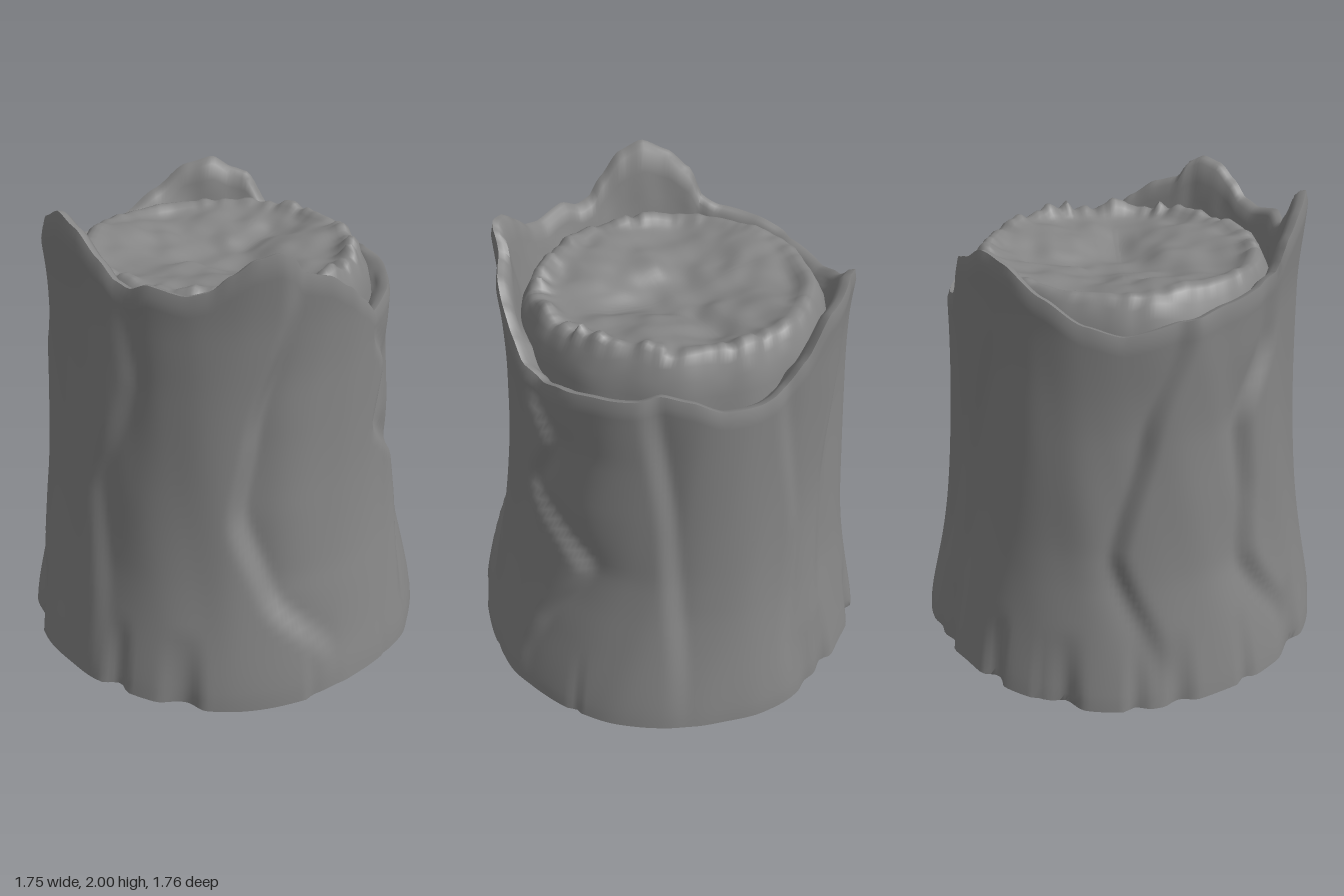
import * as THREE from 'three';
import { toCreasedNormals } from 'three/addons/utils/BufferGeometryUtils.js';

const COLS = 240;
const { sin, cos, min, max, exp, pow, PI } = Math;
const ease = THREE.MathUtils.smoothstep;

// Eased interpolation through [position, value] pairs
function sample(points, t) {
  if (t <= points[0][0]) return points[0][1];
  for (let i = 1; i < points.length; i++) {
    const [p0, v0] = points[i - 1], [p1, v1] = points[i];
    if (t <= p1) {
      const k = (t - p0) / (p1 - p0);
      return v0 + (v1 - v0) * (0.5 * k + 0.5 * k * k * (3 - 2 * k));
    }
  }
  return points[points.length - 1][1];
}

// Seeded value noise on a lattice
function hash(i, j) {
  const s = sin(i * 127.1 + j * 311.7 + 17) * 43758.5453;
  return s - Math.floor(s);
}
function noise(x, y) {
  const i = Math.floor(x), j = Math.floor(y), f = x - i, g = y - j;
  const u = f * f * (3 - 2 * f), v = g * g * (3 - 2 * g);
  const lo = hash(i, j) * (1 - u) + hash(i + 1, j) * u;
  const hi = hash(i, j + 1) * (1 - u) + hash(i + 1, j + 1) * u;
  return (lo * (1 - v) + hi * v) * 2 - 1;
}

// Height of the torn bark edge by angle in degrees (0 = front, 90 = +x)
const RIM = [
  [-180, 1.55], [-170, 1.58], [-162, 1.66], [-153, 1.81], [-147, 1.83], [-140, 1.88], [-130, 1.85],
  [-118, 1.75], [-105, 1.66], [-93, 1.62], [-75, 1.66], [-60, 1.70], [-45, 1.72], [-38, 1.75],
  [-33, 1.87], [-25, 1.95], [-16, 2.0], [-8, 1.96], [0, 1.86], [5, 1.79], [10, 1.77], [16, 1.8],
  [28, 1.77], [35, 1.79], [41, 1.85], [48, 1.91], [55, 1.93], [60, 1.9], [64, 1.83], [73, 1.8],
  [82, 1.73], [90, 1.65], [98, 1.57], [104, 1.53], [115, 1.57], [130, 1.59], [140, 1.6],
  [149, 1.62], [158, 1.6], [168, 1.55], [180, 1.55],
];

// Overlapping bark folds: path of angle by height, side that drops, depth, width
const FOLDS = [
  { path: [[0.2, -38], [0.6, -54], [0.9, -52], [1.2, -54], [1.5, -41]], side: -1, depth: 0.05, width: 16 },
  { path: [[0.2, 71], [0.5, 53], [0.85, 45], [1.2, 50], [1.7, 62]], side: 1, depth: 0.06, width: 18 },
  { path: [[0.2, 107], [0.4, 112], [0.75, 127], [1.05, 102], [1.3, 112], [1.45, 102]], side: 1, depth: 0.035, width: 14 },
  { path: [[0.3, 158], [1, 153], [1.6, 147]], side: 1, depth: 0.04, width: 12 },
  { path: [[0.3, -168], [0.9, -163], [1.6, -170]], side: 1, depth: 0.03, width: 10 },
  { path: [[0.3, -152], [1, -148], [1.6, -137]], side: 1, depth: 0.025, width: 14 },
  { path: [[0.2, -83], [0.7, -97], [1.2, -87], [1.6, -75]], side: -1, depth: 0.045, width: 13 },
  { path: [[0.3, 2], [0.9, -2], [1.4, 11], [1.9, 5]], side: 1, depth: 0.022, width: 20 },
];

function barkRadius(deg, y) {
  const a = deg * PI / 180;
  // Flared trunk, opening slightly at the highest tips
  const flare = exp(-pow(max(0, y - 0.04) / 0.62, 1.3));
  let r = 0.703 + 0.175 * flare + 0.025 * ease(y, 1.6, 2);
  const fade = min(1, 0.1 + y * 1.6) * (1 - 0.55 * ease(y, 1.35, 1.75));
  for (const { path, side, depth, width } of FOLDS) {
    const d = (((deg - sample(path, y) + 540) % 360) - 180) * side;
    r -= depth * fade * ease(d, -6, 2) * exp(-max(0, d) / width);
  }
  // Narrow notches between the root toes
  const notch = max(0, noise(sin(a) * 9 + 20, cos(a) * 9 + 20) - 0.1);
  r -= 0.06 * notch * max(0, 1 - y / 0.36);
  return r + 0.008 * noise(sin(a) * 5 + 9 + y, cos(a) * 5 + y * 1.5);
}

// Joins rings of points into one skin; place(row, angle, degrees) gives [radius, y]
function ringSkin(rows, crease, place) {
  const pos = [], index = [];
  for (let i = 0; i < rows; i++) {
    for (let j = 0; j < COLS; j++) {
      const deg = (j / COLS) * 360 - 180, a = deg * PI / 180;
      const [r, y] = place(i, a, deg);
      pos.push(r * sin(a) - 0.03 * ease(y, 0.1, 1), y, r * cos(a));
      if (i === rows - 1) continue;
      const p = i * COLS + j, q = i * COLS + (j + 1) % COLS;
      index.push(p, q, q + COLS, p, q + COLS, p + COLS);
    }
  }
  const geo = new THREE.BufferGeometry();
  geo.setAttribute('position', new THREE.Float32BufferAttribute(pos, 3));
  geo.setIndex(index);
  return toCreasedNormals(geo, crease);
}

// Underside, outer bark, torn rim and inner wall down to the gap
function barkGeometry() {
  const wall = 44;
  return ringSkin(wall + 9, 0.95, (i, a, deg) => {
    const rim = sample(RIM, deg);
    const foot = 0.038 + 0.008 * sin(a * 5 + 1);
    if (i === 0) return [0.001, 0.02];
    if (i === 1) return [0.72, 0.015 + 0.013 * sin(a * 4)];
    if (i === 2) return [barkRadius(deg, 0.04) - 0.025, 0.022 + 0.008 * sin(a * 5 + 1)];
    if (i < wall + 3) {
      const y = foot + (rim - foot) * (i - 3) / (wall - 1);
      const round = i === wall + 2 ? 0.012 : 0;
      return [barkRadius(deg, y) - round, y];
    }
    const top = barkRadius(deg, rim);
    const floor = min(1.58, rim - 0.06);
    const k = i - wall - 3;
    if (k === 0) return [top - 0.035, rim - 0.005];
    if (k === 1) return [top - 0.055, rim - 0.025];
    const t = (k - 1) / 4;
    const r = (top - 0.055) * (1 - t) + 0.61 * t;
    return [max(0.6, r + 0.006 * sin(a * 17 + k) * (1 - t)), (rim - 0.025) * (1 - t) + floor * t];
  });
}

// Broken heartwood: sloping shoulder, splintered edge and rough, sunken top
function coreGeometry() {
  const rows = 34;
  const shoulder = [[0.635, 1.45], [0.62, 1.57], [0.605, 1.64], [0.58, 1.69]];
  return ringSkin(rows, 1.2, (i, a) => {
    const s = sin(a), c = cos(a);
    const wobble = 0.012 * noise(s * 4 + 5, c * 4);
    if (i < shoulder.length) {
      const [r, y] = shoulder[i];
      return [r + wobble, y + 0.02 * noise(s * 7 + 60, c * 7) * i / 3];
    }
    const t = max(0.001, 1 - (i - 3) / (rows - 4)), r = (0.58 + wobble) * t;
    const x = r * s, z = r * c;
    const rough = 0.028 * noise(x * 5 + 3, z * 5 + 8) + 0.014 * noise(x * 11 + 30, z * 11);
    // Splinters stand mostly along the +x side
    const splinter = 0.035 * noise(s * 13 + 40, c * 13 + 40) * (0.6 + 0.4 * s);
    const ring = exp(-pow((t - 0.92) / 0.07, 2));
    return [r, 1.655 + 0.05 * ease(t, 0.2, 0.9) + rough * (1 - ease(t, 0.8, 1.02)) + (splinter + 0.025) * ring];
  });
}

export function createModel() {
  const stump = new THREE.Group();
  stump.name = 'treeStump';
  const material = new THREE.MeshStandardMaterial({ color: 0x848484, side: THREE.DoubleSide });
  for (const [name, geo] of [['bark', barkGeometry()], ['heartwood', coreGeometry()]]) {
    const mesh = new THREE.Mesh(geo, material);
    mesh.name = name;
    stump.add(mesh);
  }
  return stump;
}
